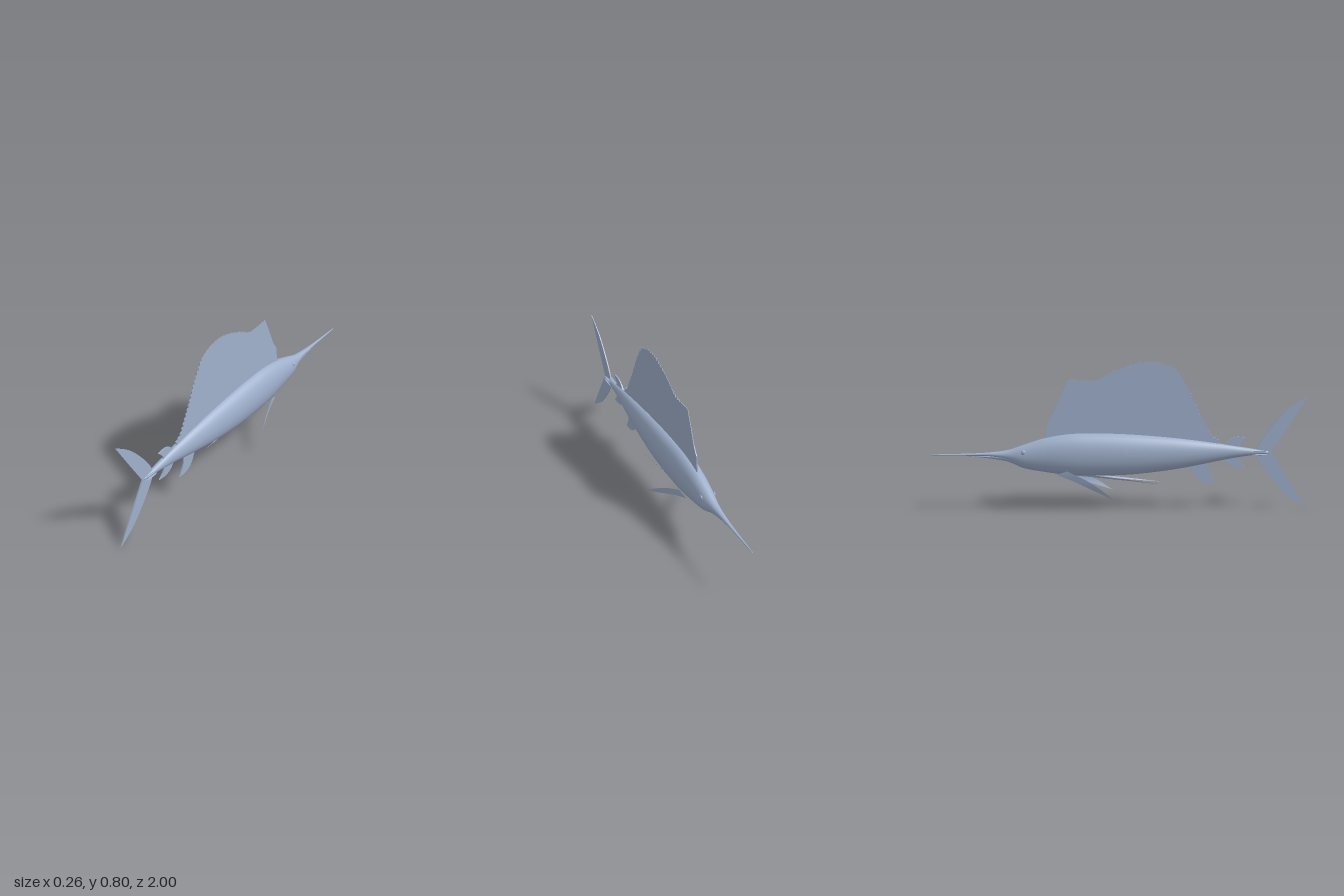
import * as THREE from 'three';

const skin = new THREE.MeshStandardMaterial({ color: 0x9fb0cc, side: THREE.DoubleSide });
skin.name = 'blue grey skin';

const MID = 0.308; // height of the body axis at bill and tail

function add(parent, name, geometry) {
  const mesh = new THREE.Mesh(geometry, skin);
  mesh.name = name;
  parent.add(mesh);
  return mesh;
}

// Smooth elliptical loft along z; each station is [z, top, bottom, halfWidth]
function loft(stations, steps = 6, sides = 32) {
  const upper = new THREE.CatmullRomCurve3(stations.map(([z, t, , w]) => new THREE.Vector3(w, t, z)), false, 'catmullrom');
  const lower = new THREE.CatmullRomCurve3(stations.map(([z, , b]) => new THREE.Vector3(0, b, z)), false, 'catmullrom');
  const rows = (stations.length - 1) * steps;
  const pos = [], index = [];
  for (let i = 0; i <= rows; i++) {
    const u = upper.getPoint(i / rows), l = lower.getPoint(i / rows);
    const cy = (u.y + l.y) / 2, h = (u.y - l.y) / 2;
    for (let j = 0; j < sides; j++) {
      const a = (j / sides) * Math.PI * 2;
      pos.push(u.x * Math.cos(a), cy + h * Math.sin(a), u.z);
      if (i < rows) {
        const k = (j + 1) % sides, p = i * sides, q = p + sides;
        index.push(p + j, p + k, q + j, p + k, q + k, q + j);
      }
    }
  }
  const g = new THREE.BufferGeometry();
  g.setAttribute('position', new THREE.Float32BufferAttribute(pos, 3));
  g.setIndex(index);
  g.computeVertexNormals();
  return g;
}

// Thin upright plate in the z-y plane, tapering away from the body axis
function plate(shape, thick = 0.008) {
  const g = new THREE.ExtrudeGeometry(shape, { depth: thick, bevelEnabled: false, curveSegments: 10 });
  g.translate(0, 0, -thick / 2).rotateY(-Math.PI / 2);
  const p = g.attributes.position;
  for (let i = 0; i < p.count; i++) {
    const d = Math.abs(p.getY(i) - MID);
    p.setX(i, p.getX(i) * Math.max(0.2, 1 - d * 1.7));
  }
  g.computeVertexNormals();
  return g;
}

const vec = (pts) => pts.map(([z, y]) => new THREE.Vector2(z, y));

// Fin with a curved leading edge and a curved trailing edge
function finShape(leading, trailing) {
  return new THREE.Shape([
    ...new THREE.SplineCurve(vec(leading)).getPoints(16),
    ...new THREE.SplineCurve(vec(trailing)).getPoints(12).slice(1),
  ]);
}

function sailShape() {
  const front = vec([[-0.2, 0.36], [-0.4, 0.385], [-0.385, 0.49], [-0.375, 0.5], [-0.355, 0.53], [-0.31, 0.635], [-0.275, 0.71]]);
  const edge = new THREE.SplineCurve(vec([
    [-0.275, 0.71], [-0.17, 0.703], [-0.115, 0.71], [-0.045, 0.748], [0.08, 0.793], [0.15, 0.803], [0.22, 0.795],
    [0.29, 0.763], [0.33, 0.71], [0.37, 0.64], [0.41, 0.555], [0.465, 0.45], [0.49, 0.405], [0.53, 0.378],
  ]));
  // Small notches between the fin rays
  const teeth = 42, rim = [];
  for (let i = 1; i < teeth * 2; i++) {
    const p = edge.getPointAt(i / (teeth * 2)), t = edge.getTangentAt(i / (teeth * 2));
    const off = i % 2 ? -0.005 : 0.003;
    rim.push(new THREE.Vector2(p.x - t.y * off, p.y + t.x * off));
  }
  return new THREE.Shape([...front, ...rim, ...vec([[0.53, 0.378], [0.525, 0.35], [0.3, 0.35]])]);
}

// Paired fin blade spanning two 3D edges from root to tip
function blade(edgeA, edgeB, side, n = 12) {
  const [a, b] = [edgeA, edgeB].map((e) => new THREE.CatmullRomCurve3(e.map(([x, y, z]) => new THREE.Vector3(x * side, y, z))));
  const pos = [], index = [];
  for (let i = 0; i <= n; i++) {
    pos.push(...a.getPoint(i / n).toArray(), ...b.getPoint(i / n).toArray());
    const k = i * 2;
    if (i < n) index.push(k, k + 1, k + 2, k + 1, k + 3, k + 2);
  }
  const g = new THREE.BufferGeometry();
  g.setAttribute('position', new THREE.Float32BufferAttribute(pos, 3));
  g.setIndex(index);
  g.computeVertexNormals();
  return g;
}

export function createModel() {
  const fish = new THREE.Group();
  fish.name = 'sailfish';

  // Body and upper bill
  add(fish, 'body', loft([
    [-1, 0.309, 0.308, 0.0005], [-0.98, 0.312, 0.306, 0.003], [-0.8, 0.315, 0.303, 0.008], [-0.7, 0.32, 0.3, 0.013],
    [-0.6, 0.332, 0.276, 0.025], [-0.52, 0.358, 0.236, 0.041], [-0.4, 0.396, 0.212, 0.054], [-0.27, 0.417, 0.194, 0.063],
    [-0.13, 0.42, 0.19, 0.065], [0.05, 0.413, 0.194, 0.063], [0.25, 0.396, 0.215, 0.053], [0.4, 0.378, 0.24, 0.042],
    [0.55, 0.356, 0.27, 0.028], [0.65, 0.339, 0.287, 0.02], [0.74, 0.324, 0.298, 0.014],
    [0.785, 0.316, 0.302, 0.009], [0.8, 0.309, 0.307, 0.0005],
  ]));

  // Lower jaw
  add(fish, 'lowerJaw', loft([
    [-0.81, 0.302, 0.301, 0.0005], [-0.76, 0.303, 0.296, 0.005], [-0.68, 0.305, 0.286, 0.011],
    [-0.6, 0.305, 0.271, 0.02], [-0.53, 0.3, 0.243, 0.03], [-0.47, 0.28, 0.24, 0.01],
  ], 5, 20));

  // Fins along the centre line
  add(fish, 'sail', plate(sailShape()));
  add(fish, 'rearDorsalFin', plate(finShape(
    [[0.545, 0.345], [0.58, 0.377], [0.62, 0.394], [0.675, 0.39]], [[0.675, 0.39], [0.645, 0.36], [0.635, 0.325]])));
  add(fish, 'rearAnalFin', plate(finShape(
    [[0.55, 0.278], [0.58, 0.244], [0.62, 0.227], [0.675, 0.228]], [[0.675, 0.228], [0.645, 0.255], [0.635, 0.295]])));
  add(fish, 'analFin', plate(finShape(
    [[0.37, 0.245], [0.405, 0.177], [0.45, 0.148], [0.508, 0.145]], [[0.508, 0.145], [0.478, 0.2], [0.47, 0.268]])));

  // Forked tail: two mirrored lobes
  for (const s of [1, -1]) {
    const at = (pts) => pts.map(([z, d]) => [z, MID + s * d]);
    add(fish, s > 0 ? 'upperTailLobe' : 'lowerTailLobe', plate(finShape(
      at([[0.725, 0], [0.745, 0.05], [0.795, 0.122], [0.89, 0.227], [1, 0.303]]),
      at([[1, 0.303], [0.905, 0.15], [0.81, 0]]))));
  }

  // Mirrored parts
  for (const s of [1, -1]) {
    const label = s > 0 ? 'left' : 'right';
    add(fish, label + 'PectoralFin', blade(
      [[0.048, 0.224, -0.285], [0.075, 0.183, -0.19], [0.105, 0.137, -0.11], [0.128, 0.082, -0.035]],
      [[0.034, 0.203, -0.34], [0.056, 0.168, -0.245], [0.088, 0.126, -0.145], [0.128, 0.082, -0.035]], s));
    add(fish, label + 'PelvicFin', blade(
      [[0.016, 0.2, -0.19], [0.025, 0.175, 0.01], [0.034, 0.147, 0.215]],
      [[0.012, 0.192, -0.23], [0.02, 0.167, 0.01], [0.034, 0.146, 0.215]], s));
    const eye = add(fish, label + 'Eye', new THREE.SphereGeometry(0.013, 20, 14));
    eye.scale.x = 0.5;
    eye.position.set(s * 0.037, 0.325, -0.515);
    // Pair of small keels at the tail root
    for (const v of [1, -1]) {
      const keel = add(fish, label + 'TailKeel', new THREE.SphereGeometry(1, 14, 10));
      keel.scale.set(0.006, 0.003, 0.045);
      keel.position.set(s * 0.013, MID + v * 0.009, 0.75);
    }
  }
  return fish;
}
